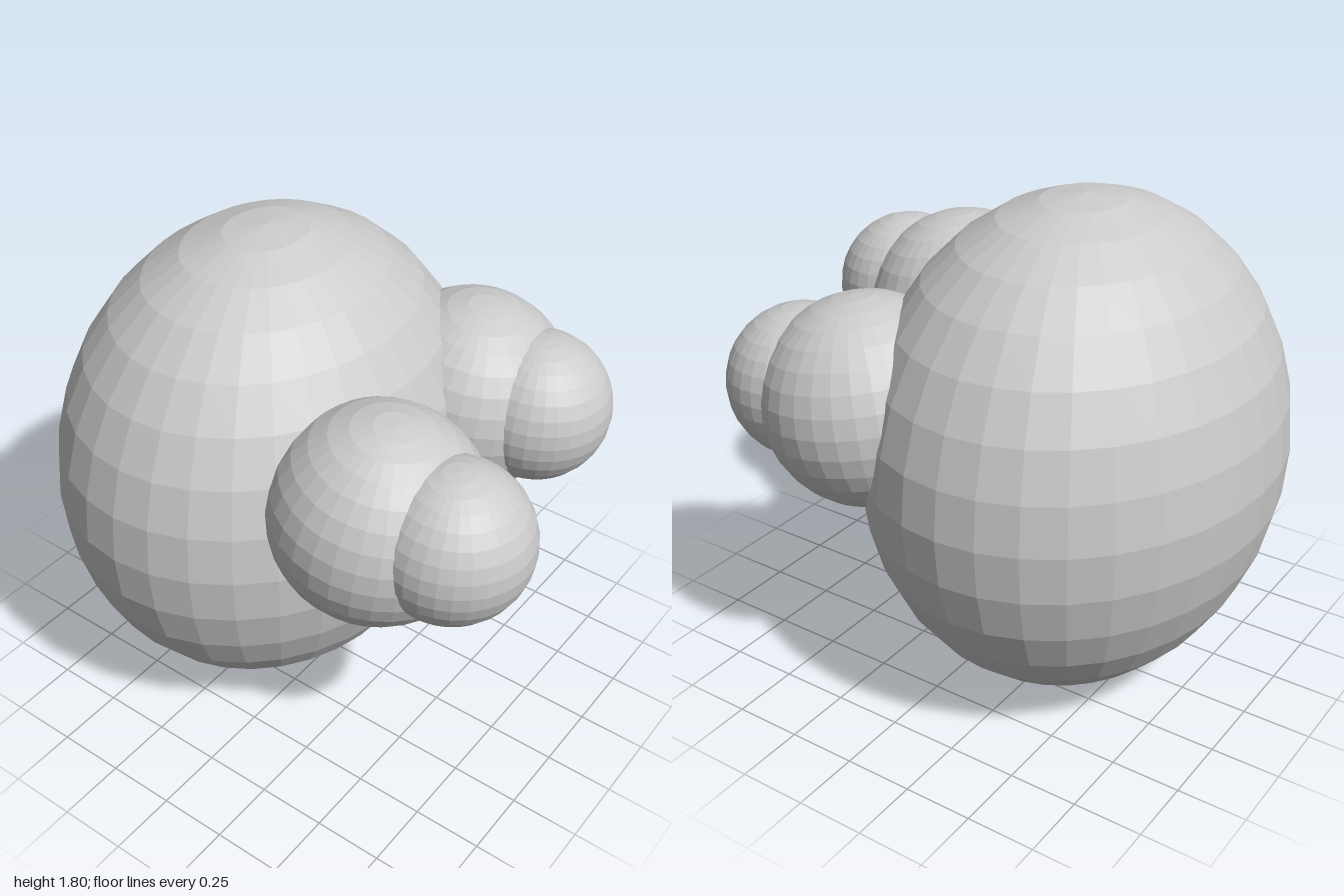
import * as THREE from 'three';

const material = new THREE.MeshStandardMaterial({ color: 0xcccccc, flatShading: true });

// Faceted ball, scaled to an ellipsoid and optionally tilted forward
function ball(name, [x, y, z], [rx, ry, rz], tilt = 0) {
  const mesh = new THREE.Mesh(new THREE.SphereGeometry(1, 32, 16), material);
  mesh.name = name;
  mesh.scale.set(rx, ry, rz);
  mesh.position.set(x, y, z);
  mesh.rotation.x = tilt;
  return mesh;
}

// Eyeball with a smaller pupil bulging out of its front
function eye(name, eyeCentre, pupilCentre) {
  const group = new THREE.Group();
  group.name = name;
  group.add(
    ball('eyeball', eyeCentre, [0.377, 0.377, 0.377], 0.15),
    ball('pupil', pupilCentre, [0.275, 0.277, 0.275], 0.05)
  );
  return group;
}

export function createModel() {
  const model = new THREE.Group();
  model.name = 'bulgingEyedHead';

  // Egg-shaped head
  model.add(ball('head', [0, 0.903, -0.28], [0.855, 0.902, 0.72]));

  // Eyes, set unevenly
  model.add(
    eye('rightEye', [-0.335, 1.13, 0.44], [-0.342, 1.163, 0.725]),
    eye('leftEye', [0.48, 1.1, 0.27], [0.515, 1.117, 0.53])
  );
  return model;
}
